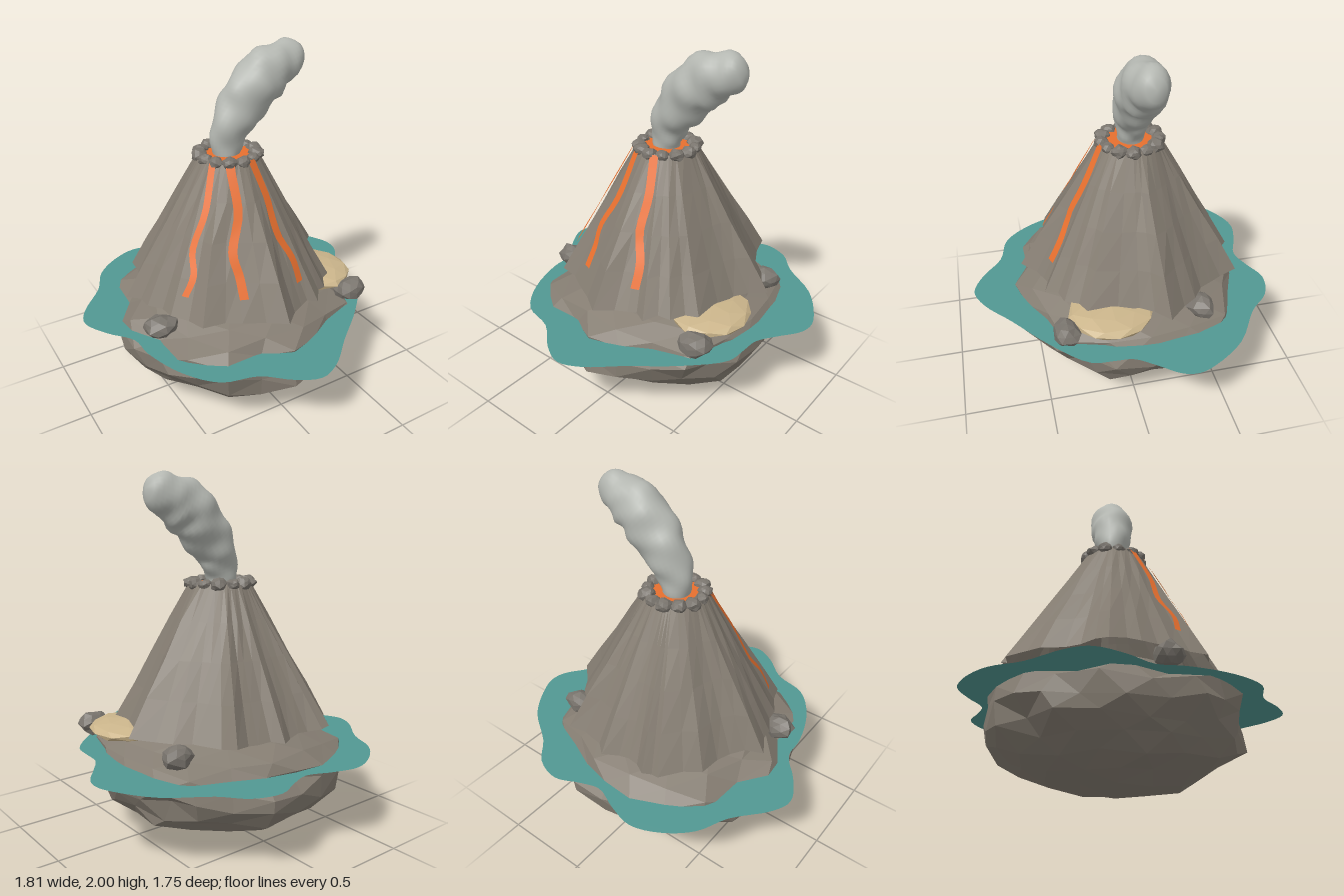
import * as THREE from 'three';
import { mergeVertices } from 'three/addons/utils/BufferGeometryUtils.js';

const CX = -0.015, CZ = -0.085;          // axis of the volcano
const TOP = 1.42, FOOT = 0.642, LIP = 0.17;

// ridges and valleys around the foot of the cone: [degrees, radius]
const RIDGES = [
  [-7, 0.675], [7, 0.54], [35, 0.605], [50, 0.6], [64, 0.615], [74, 0.57], [90, 0.66], [113, 0.58],
  [133, 0.63], [153, 0.59], [170, 0.6], [185, 0.655], [200, 0.55], [219, 0.61], [241, 0.65],
  [249, 0.64], [260, 0.56], [275, 0.61], [289, 0.58], [301, 0.66], [316, 0.56], [333, 0.58], [353, 0.675],
];

// shoreline of the water sheet: x, z pairs
const SHORE = [
  0.9, -0.26, 0.865, -0.36, 0.73, -0.555, 0.51, -0.71, 0.39, -0.835, 0.235, -0.88, 0.1, -0.825,
  -0.02, -0.79, -0.165, -0.845, -0.32, -0.88, -0.48, -0.82, -0.62, -0.7, -0.705, -0.53,
  -0.865, -0.34, -0.905, -0.225, -0.83, -0.07, -0.72, 0.07, -0.705, 0.22, -0.62, 0.46,
  -0.48, 0.63, -0.285, 0.69, -0.14, 0.81, -0.005, 0.87, 0.125, 0.82, 0.295, 0.675,
  0.535, 0.48, 0.705, 0.29, 0.72, 0.17, 0.73, 0.06, 0.8, -0.05, 0.885, -0.17,
];

// repeatable noise in -1..1, equal for equal positions
function noise(x, y, z, seed = 0) {
  const q = (v) => Math.round(v * 1000) / 1000;
  const s = Math.sin(q(x) * 127.1 + q(y) * 311.7 + q(z) * 74.7 + seed * 53.3) * 43758.55;
  return (s - Math.floor(s)) * 2 - 1;
}

function reshape(geometry, rule) {
  const p = geometry.attributes.position, v = new THREE.Vector3();
  for (let i = 0; i < p.count; i++) {
    rule(v.fromBufferAttribute(p, i));
    p.setXYZ(i, v.x, v.y, v.z);
  }
  geometry.computeVertexNormals();
  return geometry;
}

function fromGrid(points, index) {
  const g = new THREE.BufferGeometry();
  g.setAttribute('position', new THREE.Float32BufferAttribute(points, 3));
  g.setIndex(index);
  g.computeVertexNormals();
  return g;
}

// radius of the cone at an angle (degrees) and a fraction t from lip to foot
function coneRadius(deg, t) {
  let i = 0;
  while (i < RIDGES.length - 2 && RIDGES[i + 1][0] < deg) i++;
  const [a0, r0] = RIDGES[i], [a1, r1] = RIDGES[i + 1];
  return LIP + t * (r0 + (r1 - r0) * (deg - a0) / (a1 - a0) - LIP);
}

function coneGeometry() {
  const angles = [];
  for (let i = 0; i < RIDGES.length - 1; i++) {
    const a = RIDGES[i][0], b = RIDGES[i + 1][0];
    angles.push([a, 0], [a + (b - a) * 0.45, -0.025]);   // ridge, then crease
  }
  const n = angles.length, rows = 4, points = [], index = [];
  for (let j = 0; j <= rows; j++) {
    for (let i = 0; i < n; i++) {
      const t = j / rows, [deg, crease] = angles[i];
      const wobble = j > 0 && j < rows ? 0.006 * noise(i, j, 0) : 0;
      const r = coneRadius(deg, t) + crease * t + wobble;
      const a = THREE.MathUtils.degToRad(deg);
      const y = TOP + (FOOT - TOP) * t + t * 0.014 * noise(i, 1, 2);
      points.push(CX + r * Math.cos(a), y, CZ + r * Math.sin(a));
      if (j < rows) {
        const k = (i + 1) % n, p = j * n + i, q = j * n + k;
        index.push(p, q, q + n, p, q + n, p + n);
      }
    }
  }
  return fromGrid(points, index);
}

// ribbon lying on the cone; waypoints are [height, degrees]
function streamGeometry(way, width) {
  const path = new THREE.CatmullRomCurve3(way.map(([y, d]) => new THREE.Vector3(d / 100, y, 0)));
  const points = [], index = [], steps = 16;
  for (let i = 0; i <= steps; i++) {
    const p = path.getPoint(i / steps), t = (TOP - p.y) / (TOP - FOOT);
    const r = coneRadius(p.x * 100, t) + 0.014;
    for (const side of [-1, 1]) {
      const a = THREE.MathUtils.degToRad(p.x * 100) + side * width / 2 / r;
      points.push(CX + r * Math.cos(a), p.y, CZ + r * Math.sin(a));
    }
    const k = i * 2;
    if (i < steps) index.push(k, k + 1, k + 3, k, k + 3, k + 2);
  }
  return fromGrid(points, index);
}

// smoke column: closed tube of changing radius with soft lumps, narrower in depth
function smokeGeometry() {
  const path = new THREE.CatmullRomCurve3([
    [-0.02, 1.37], [-0.02, 1.46], [0.01, 1.57], [0.085, 1.68], [0.175, 1.785], [0.265, 1.85], [0.36, 1.89], [0.475, 1.92],
  ].map(([x, y]) => new THREE.Vector3(x, y, -0.09)));
  const radii = [0.075, 0.092, 0.118, 0.14, 0.15, 0.142, 0.112, 0];
  const steps = 40, sides = 24;
  const g = new THREE.TubeGeometry(path, steps, 1, sides, false);
  const pos = g.attributes.position, v = new THREE.Vector3();
  for (let i = 0; i <= steps; i++) {
    const c = path.getPointAt(i / steps), u = path.getUtoTmapping(i / steps) * (radii.length - 1);
    const k = Math.min(Math.floor(u), radii.length - 2), f = u - k;
    const base = k === radii.length - 2
      ? radii[k] * Math.sqrt(Math.max(0, 1 - f * f))
      : radii[k] + (radii[k + 1] - radii[k]) * f;
    for (let j = 0; j <= sides; j++) {
      const n = i * (sides + 1) + j, a = (j % sides) / sides * Math.PI * 2;
      const lump = 1 + 0.04 * Math.sin(u * 3.6 + 2 * a) + 0.04 * Math.sin(u * 5 - 3 * a + 1);
      v.fromBufferAttribute(pos, n).sub(c).multiplyScalar(base * lump);
      v.z *= 0.86;
      v.add(c);
      pos.setXYZ(n, v.x, v.y, v.z);
    }
  }
  g.deleteAttribute('uv');
  g.deleteAttribute('normal');
  const merged = mergeVertices(g, 1e-4);
  merged.computeVertexNormals();
  return merged;
}

export function createModel() {
  const model = new THREE.Group();
  const material = (name, color, options = {}) => {
    const m = new THREE.MeshStandardMaterial({ color, ...options });
    m.name = name;
    return m;
  };
  const flat = { flatShading: true };
  const stone = material('stone', 0x857d72, { flatShading: true, side: THREE.DoubleSide });
  const rock = material('dark rock', 0x7a756e, flat);
  const sand = material('sand', 0xcbb58b, flat);
  const lava = material('lava', 0xe8702f, { side: THREE.DoubleSide });
  const water = material('water', 0x52989200 >>> 8, { side: THREE.DoubleSide });
  const smoke = material('smoke', 0xb4b7b1);

  const add = (name, geometry, mat, parent = model) => {
    const mesh = new THREE.Mesh(geometry, mat);
    mesh.name = name;
    parent.add(mesh);
    return mesh;
  };
  const addGroup = (name) => {
    const g = new THREE.Group();
    g.name = name;
    model.add(g);
    return g;
  };
  const boulder = (name, at, size, seed, mat, parent, rough = 0.16) => {
    const g = reshape(new THREE.IcosahedronGeometry(1, 1),
      (v) => v.multiplyScalar(1 + rough * noise(v.x, v.y, v.z, seed)));
    const mesh = add(name, g, mat, parent);
    mesh.position.set(...at);
    mesh.scale.set(...size);
    return mesh;
  };

  // faceted island: broad flat top, conical underside
  add('island', reshape(new THREE.IcosahedronGeometry(1, 3), (v) => {
    const h = Math.hypot(v.x, v.z), up = v.y > 0;
    const n = noise(v.x, v.y, v.z), m = noise(v.x, v.y, v.z, 1);
    const r = 0.705 * Math.pow(h, up ? 0.58 : 1) * (1 + 0.075 * n);
    const s = h < 1e-4 ? 0 : r / h;
    const t = Math.acos(Math.min(1, Math.abs(v.y))) / (Math.PI / 2);   // 0 at the pole, 1 at the rim
    const y = up
      ? 0.36 + v.y * 0.28 + 0.03 * m * t
      : 0.005 + 0.355 * (0.58 * t + 0.42 * t ** 3) + 0.035 * m * t;
    v.set(-0.01 + v.x * s, y, -0.065 + v.z * s);
  }), stone);

  // water sheet
  const shore = [];
  for (let i = 0; i < SHORE.length; i += 2) shore.push(new THREE.Vector3(SHORE[i], -SHORE[i + 1], 0));
  const outline = new THREE.CatmullRomCurve3(shore, true).getPoints(124).slice(0, -1);
  const sheet = new THREE.ShapeGeometry(new THREE.Shape(outline.map((p) => new THREE.Vector2(p.x, p.y))));
  add('water', sheet.rotateX(-Math.PI / 2).translate(0, 0.48, 0), water);

  // volcano, crater pool and lava streams
  add('cone', coneGeometry(), stone);
  add('craterLava', new THREE.CircleGeometry(0.155, 24).rotateX(-Math.PI / 2).translate(CX, 1.415, CZ), lava);
  const streams = addGroup('lavaStreams');
  streams.add(...[
    [0.04, [[1.42, 147], [1.2, 143], [1.0, 148], [0.88, 143], [0.77, 146]]],
    [0.05, [[1.42, 117], [1.2, 110], [1.0, 117], [0.88, 113], [0.77, 111]]],
    [0.05, [[1.42, 75], [1.24, 72], [1.05, 75], [0.9, 70], [0.77, 71]]],
  ].map(([width, way]) => add('lavaStream', streamGeometry(way, width), lava, streams)));

  // rocks around the crater
  const rim = addGroup('craterRocks');
  for (let i = 0; i < 13; i++) {
    const a = i / 13 * Math.PI * 2 + 0.1, s = 0.042 + 0.006 * noise(i, 3, 1);
    boulder('craterRock', [CX + 0.16 * Math.cos(a), 1.412, CZ + 0.16 * Math.sin(a)], [s, s * 0.8, s], i + 1, rock, rim);
  }

  // beach and shore boulders
  boulder('beach', [0.478, 0.606, 0.13], [0.215, 0.048, 0.245], 0, sand, model, 0.05);
  const boulders = addGroup('shoreBoulders');
  [[-0.59, 0.58, 0.155], [0.555, 0.58, 0.39], [0.5, 0.58, -0.385]].forEach((at, i) =>
    boulder('shoreBoulder', at, [0.095, 0.068, 0.075], i * 2 + 2, rock, boulders));

  add('smoke', smokeGeometry(), smoke);
  return model;
}
